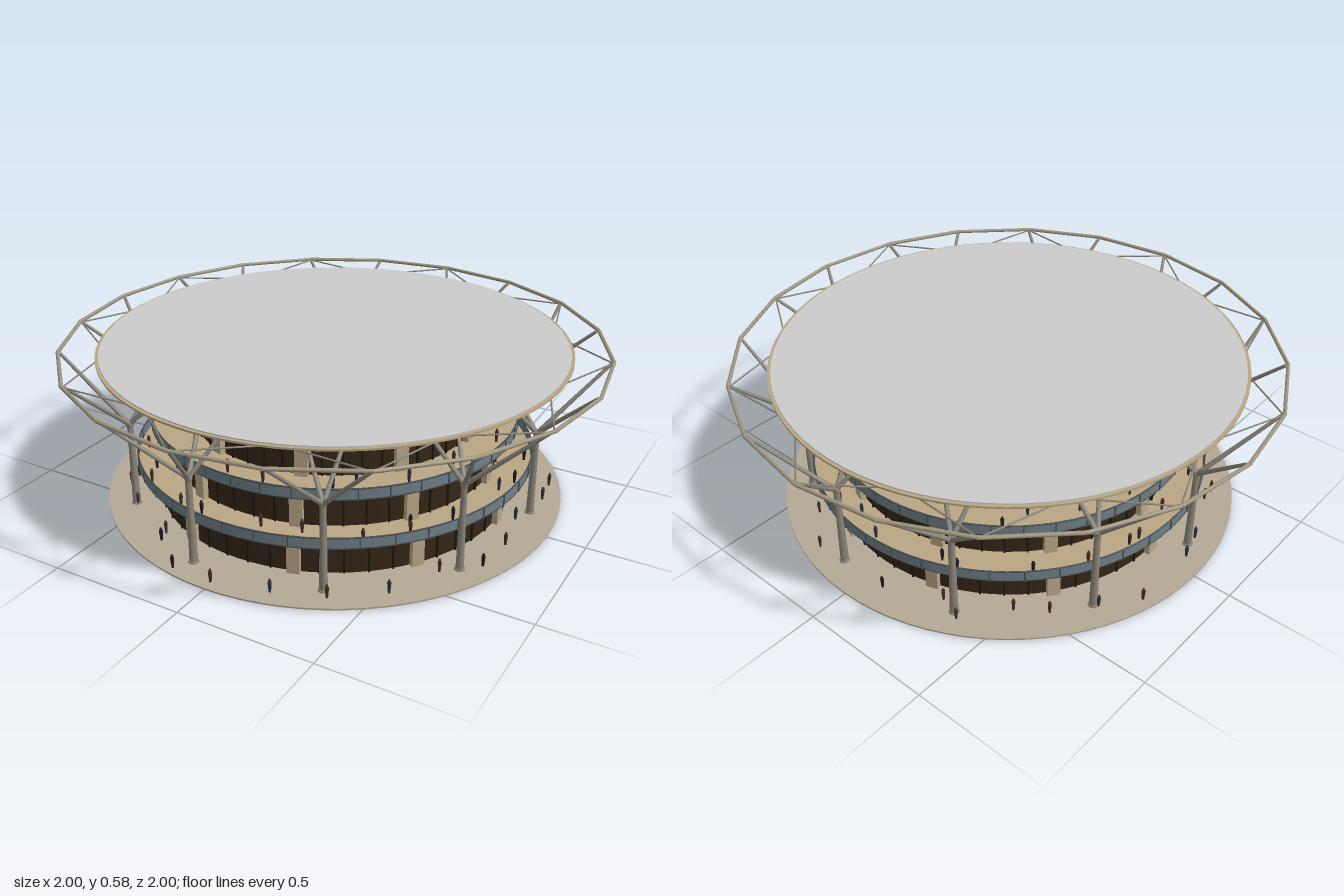
import * as THREE from 'three';

const mat = (color, extra = {}) => new THREE.MeshStandardMaterial({ color, ...extra });
const M = {
  roof: mat(0xcccccc), tan: mat(0xb9a685), soffit: mat(0x8f7f58), ground: mat(0xb5a896),
  steel: mat(0x8c877b), ring: mat(0xa09680), glass: mat(0x352617), mullion: mat(0x1e1610),
  rail: mat(0x6f7f88, { side: THREE.DoubleSide }), handrail: mat(0x4a5358), drum: mat(0x2a2724),
};
const people = [0x1c1c22, 0x4a2a22, 0x2c3440, 0x3a3226].map((c) => mat(c));

// Point at angle (degrees from +z toward +x), radius and height
const polar = (deg, r, y) => {
  const a = THREE.MathUtils.degToRad(deg);
  return new THREE.Vector3(Math.sin(a) * r, y, Math.cos(a) * r);
};

function add(parent, name, geo, material) {
  const m = new THREE.Mesh(geo, material);
  m.name = name;
  parent.add(m);
  return m;
}

// Straight round bar between two points
function bar(parent, name, a, b, r0, r1, material) {
  const m = add(parent, name, new THREE.CylinderGeometry(r1, r0, a.distanceTo(b), 8), material);
  m.position.copy(a).lerp(b, 0.5);
  m.quaternion.setFromUnitVectors(new THREE.Vector3(0, 1, 0), b.clone().sub(a).normalize());
  return m;
}

// Solid disc spanning y0..y1
function disc(parent, name, r, y0, y1, material, rBottom = r) {
  const m = add(parent, name, new THREE.CylinderGeometry(r, rBottom, y1 - y0, 80), material);
  m.position.y = (y0 + y1) / 2;
  return m;
}

// Upright box facing outward
function radialBox(parent, name, deg, r, y0, y1, w, d, material) {
  const m = add(parent, name, new THREE.BoxGeometry(w, y1 - y0, d), material);
  m.position.copy(polar(deg, r, (y0 + y1) / 2));
  m.rotation.y = THREE.MathUtils.degToRad(deg);
}

function storey(parent, name, r, y0, y1) {
  const g = new THREE.Group();
  g.name = name;
  parent.add(g);
  disc(g, 'glazing', r, y0, y1, M.glass);
  disc(g, 'wallHead', r + 0.008, y1 - 0.012, y1, M.tan);
  for (let i = 0; i < 10; i++) {
    radialBox(g, 'pier', 18 + i * 36, r, y0, y1, 0.045, 0.04, M.tan);
    for (let j = 1; j < 5; j++) {
      radialBox(g, 'mullion', 18 + i * 36 + j * 7.2, r, y0, y1 - 0.012, 0.006, 0.012, M.mullion);
    }
  }
}

function balcony(parent, name, r, y) {
  const g = new THREE.Group();
  g.name = name;
  parent.add(g);
  disc(g, 'deck', r - 0.005, y, y + 0.015, M.tan, r - 0.02);
  const panel = add(g, 'parapet', new THREE.CylinderGeometry(r, r, 0.038, 80, 1, true), M.rail);
  panel.position.y = y + 0.027;
  for (const h of [0.008, 0.047]) {
    const rail = add(g, 'handrail', new THREE.TorusGeometry(r, 0.003, 5, 80), M.handrail);
    rail.rotation.x = Math.PI / 2;
    rail.position.y = y + h;
  }
  for (let i = 0; i < 40; i++) {
    radialBox(g, 'railPost', i * 9, r, y + 0.005, y + 0.047, 0.004, 0.008, M.handrail);
  }
}

function person(parent, p, material) {
  const g = new THREE.Group();
  g.name = 'visitor';
  const body = add(g, 'body', new THREE.CylinderGeometry(0.007, 0.004, 0.04, 6), material);
  body.position.y = 0.02;
  const head = add(g, 'head', new THREE.SphereGeometry(0.005, 6, 5), material);
  head.position.y = 0.046;
  g.position.copy(p);
  parent.add(g);
}

export function createModel() {
  const model = new THREE.Group();
  model.name = 'pavilion';

  // Ground plate
  disc(model, 'groundPlate', 0.86, 0.002, 0.008, M.ground);

  // Three stepped storeys with balconies
  storey(model, 'groundStorey', 0.66, 0.008, 0.145);
  balcony(model, 'lowerBalcony', 0.74, 0.145);
  storey(model, 'middleStorey', 0.61, 0.16, 0.29);
  balcony(model, 'upperBalcony', 0.68, 0.29);
  storey(model, 'topStorey', 0.53, 0.305, 0.437);
  disc(model, 'buildingRoof', 0.59, 0.437, 0.448, M.tan);
  disc(model, 'plantDrum', 0.24, 0.448, 0.515, M.drum, 0.215);

  // Canopy disc with a narrow rim
  disc(model, 'canopySoffit', 0.85, 0.562, 0.567, M.soffit);
  disc(model, 'canopyRim', 0.86, 0.567, 0.574, M.tan);
  disc(model, 'canopyTop', 0.848, 0.574, 0.578, M.roof);

  // Twenty-sided ring beam and the lattice under the canopy
  const lattice = new THREE.Group();
  lattice.name = 'canopyLattice';
  model.add(lattice);
  for (let i = 0; i < 20; i++) {
    const a = i * 18;
    bar(lattice, 'ringBeam', polar(a, 0.993, 0.571), polar(a + 18, 0.993, 0.571), 0.007, 0.007, M.ring);
    bar(lattice, 'innerRing', polar(a, 0.58, 0.557), polar(a + 18, 0.58, 0.557), 0.005, 0.005, M.steel);
    if (i % 2) continue;
    for (const s of [-18, 18]) {
      const node = polar(a + s, 0.82, 0.56);
      bar(lattice, 'tieRod', polar(a, 0.99, 0.568), node, 0.003, 0.003, M.steel);
      bar(lattice, 'latticeBar', node, polar(a, 0.58, 0.557), 0.004, 0.004, M.steel);
      bar(lattice, 'latticeBar', polar(a, 0.58, 0.557), polar(a + s, 0.34, 0.557), 0.004, 0.004, M.steel);
    }
    bar(lattice, 'latticeBar', polar(a - 18, 0.34, 0.557), polar(a + 18, 0.34, 0.557), 0.004, 0.004, M.steel);
  }

  // Ten tree columns, each with two outer and two inner branches
  for (let i = 0; i < 10; i++) {
    const a = -9 + i * 36;
    const tree = new THREE.Group();
    tree.name = 'treeColumn';
    model.add(tree);
    const fork = polar(a, 0.76, 0.33);
    bar(tree, 'trunk', polar(a, 0.76, 0), fork, 0.015, 0.011, M.steel);
    bar(tree, 'columnBase', polar(a, 0.76, 0), polar(a, 0.76, 0.014), 0.022, 0.018, M.steel);
    add(tree, 'forkJoint', new THREE.SphereGeometry(0.014, 10, 8), M.steel).position.copy(fork);
    for (const s of [-9, 9]) {
      bar(tree, 'outerBranch', fork, polar(a + s, 0.985, 0.567), 0.009, 0.006, M.steel);
      bar(tree, 'innerBranch', fork, polar(a + s, 0.58, 0.56), 0.009, 0.006, M.steel);
    }
  }

  // Visitors scattered on the ground and balconies
  let seed = 7;
  const rand = () => (seed = (seed * 16807) % 2147483647) / 2147483647;
  const crowd = new THREE.Group();
  crowd.name = 'visitors';
  model.add(crowd);
  for (const [n, r0, r1, y] of [[30, 0.71, 0.83, 0.008], [28, 0.65, 0.72, 0.16], [24, 0.57, 0.66, 0.305]]) {
    for (let i = 0; i < n; i++) {
      const p = polar((i + rand()) * 360 / n, r0 + (r1 - r0) * rand(), y);
      person(crowd, p, people[Math.floor(rand() * people.length)]);
    }
  }
  return model;
}
